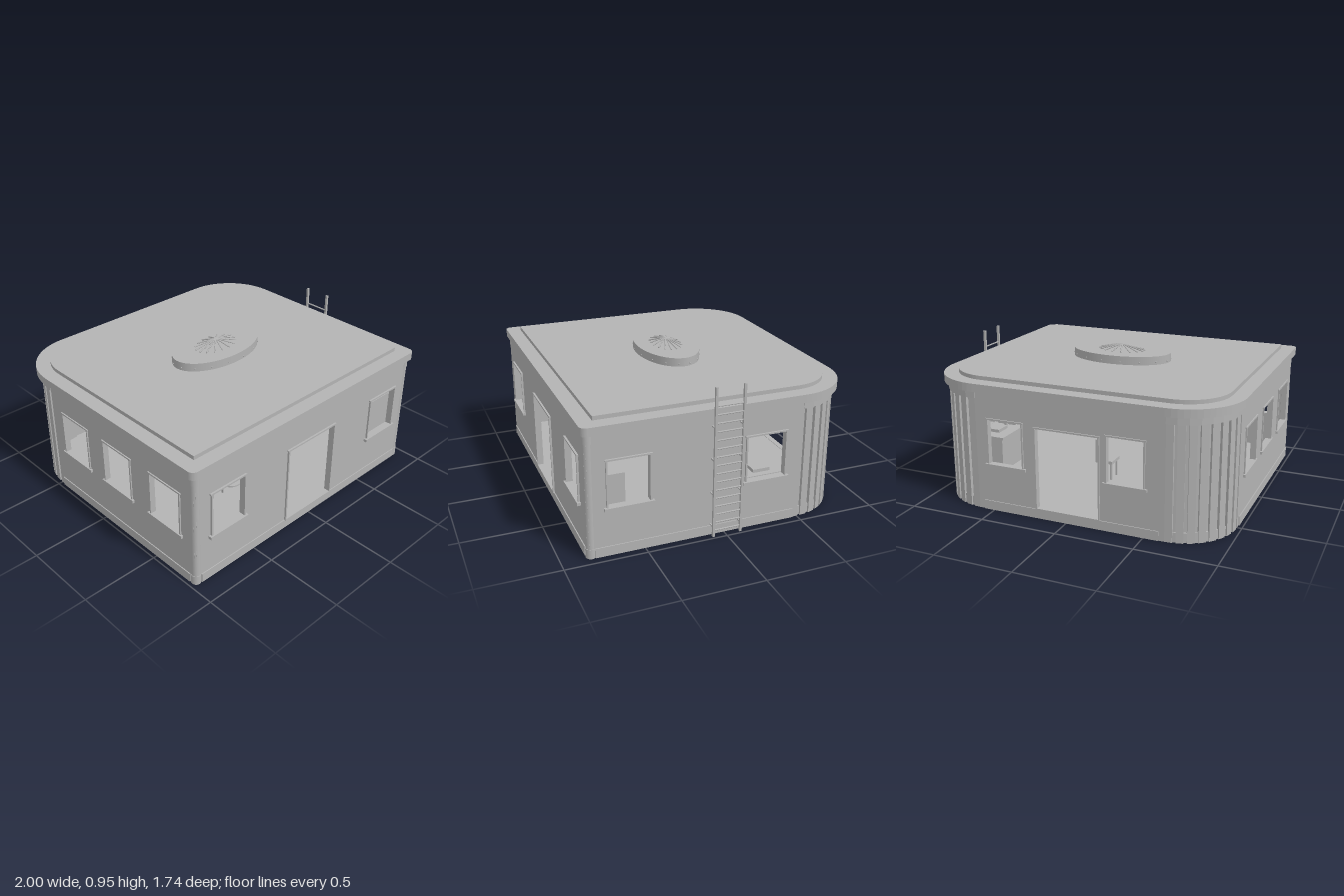
import * as THREE from 'three';

const grey = new THREE.MeshStandardMaterial({ color: 0xb3b3b3 });
grey.name = 'plain grey';
const CX = -0.0125, HX = 0.9575, HZ = 0.845, T = 0.03, R = 0.34, TOP = 0.77;

function mesh(parent, name, geo, x = 0, y = 0, z = 0) {
  const m = new THREE.Mesh(geo, grey);
  m.name = name;
  m.position.set(x, y, z);
  parent.add(m);
  return m;
}
// box given by its extents
function box(parent, name, x0, x1, y0, y1, z0, z1) {
  return mesh(parent, name, new THREE.BoxGeometry(x1 - x0, y1 - y0, z1 - z0),
    (x0 + x1) / 2, (y0 + y1) / 2, (z0 + z1) / 2);
}
function group(parent, name) {
  const g = new THREE.Group();
  g.name = name;
  parent.add(g);
  return g;
}
// straight bar between two points
function bar(parent, name, a, b, r, sides = 8) {
  const d = b.clone().sub(a);
  const m = mesh(parent, name, new THREE.CylinderGeometry(r, r, d.length(), sides));
  m.position.copy(a).addScaledVector(d, 0.5);
  m.quaternion.setFromUnitVectors(new THREE.Vector3(0, 1, 0), d.normalize());
  return m;
}
// plan shape (x, -z) raised from y0 to y1
function raise(parent, name, shape, y0, y1, curveSegments = 8) {
  const g = new THREE.ExtrudeGeometry(shape, { depth: y1 - y0, bevelEnabled: false, curveSegments });
  g.rotateX(-Math.PI / 2);
  return mesh(parent, name, g, 0, y0, 0);
}
// plan outline with large rounded back corners and small front ones
function plan(hx, zFront, zBack, back, front) {
  const s = new THREE.Shape(), x0 = CX - hx, x1 = CX + hx, f = -zFront, b = -zBack;
  s.moveTo(x0 + front, f);
  s.lineTo(x1 - front, f);
  s.absarc(x1 - front, f + front, front, -Math.PI / 2, 0, false);
  s.absarc(x1 - back, b - back, back, 0, Math.PI / 2, false);
  s.absarc(x0 + back, b - back, back, Math.PI / 2, Math.PI, false);
  s.absarc(x0 + front, f + front, front, Math.PI, Math.PI * 1.5, false);
  return s;
}
// wall with openings [u0, u1, y0, y1], framed on the outer side
function wall(parent, name, u0, u1, openings, side) {
  const g = group(parent, name);
  const s = new THREE.Shape([[u0, 0], [u1, 0], [u1, TOP], [u0, TOP]].map(p => new THREE.Vector2(...p)));
  const zo = side > 0 ? T : 0, z0 = zo - 0.008, z1 = zo + 0.012;
  for (const [a, b, c, d] of openings) {
    s.holes.push(new THREE.Path([[a, c], [a, d], [b, d], [b, c]].map(p => new THREE.Vector2(...p))));
    const door = c < 0.1;
    box(g, 'leftJamb', a - 0.01, a, c, d, z0, z1);
    box(g, 'rightJamb', b, b + 0.01, c, d, z0, z1);
    box(g, 'lintel', a - 0.015, b + 0.015, d, d + 0.01, z0, z1);
    if (door) box(g, 'threshold', a - 0.01, b + 0.01, c - 0.01, c, z0, z1);
    else box(g, 'sill', a - 0.025, b + 0.025, c - 0.018, c, zo - 0.015, zo + 0.022);
  }
  mesh(g, 'wallPanel', new THREE.ExtrudeGeometry(s, { depth: T, bevelEnabled: false }));
  const inset = 0.035;
  box(g, 'baseboard', u0 + inset, u1 - inset, 0, 0.06, zo - 0.006, zo + 0.006);
  return g;
}
// fluted quarter-round corner at the back
function flutedCorner(parent, name, sx) {
  const g = group(parent, name), cx = CX + sx * (HX - R), cy = HZ - R, n = 8;
  const at = (r, a) => new THREE.Vector2(cx + sx * r * Math.cos(a), cy + r * Math.sin(a));
  const flute = [], band = [], inner = [];
  for (let i = 0; i < n; i++) {
    const a = i / n * Math.PI / 2, w = Math.PI / 2 / n;
    for (const [r, k] of [[R - 0.018, 0], [R - 0.018, 0.28], [R, 0.3], [R, 0.98]]) flute.push(at(r, a + w * k));
  }
  for (let i = 0; i <= n; i++) {
    band.push(at(R + 0.004, i / n * Math.PI / 2));
    inner.unshift(at(R - 0.04, i / n * Math.PI / 2));
  }
  flute.push(at(R, Math.PI / 2));
  raise(g, 'flutes', new THREE.Shape([...flute, ...inner]), 0, 0.72);
  raise(g, 'cornerBand', new THREE.Shape([...band, ...inner]), 0.72, TOP);
}
function chair(parent, x, z, turn) {
  const g = group(parent, 'chair');
  box(g, 'seat', -0.06, 0.06, 0.175, 0.195, -0.06, 0.06);
  box(g, 'backrest', 0.04, 0.06, 0.195, 0.335, -0.06, 0.06);
  for (const a of [-1, 1]) for (const b of [-1, 1])
    box(g, 'leg', a * 0.045 - 0.006, a * 0.045 + 0.006, 0.06, 0.175, b * 0.045 - 0.006, b * 0.045 + 0.006);
  g.position.set(x, 0, z);
  g.rotation.y = turn;
}

export function createModel() {
  const root = new THREE.Group();
  root.name = 'pavilion';

  // floor slab
  raise(root, 'floor', plan(HX - 0.01, HZ - 0.01, -HZ + 0.01, R - 0.015, 0.02), 0, 0.062);

  // walls: door and windows
  const door = [-0.215, 0.195, 0.065, 0.58];
  const xl = CX - HX, xr = CX + HX;
  const win = (c, w = 0.25) => [c - w / 2, c + w / 2, 0.31, 0.595];
  wall(root, 'frontWall', xl + 0.01, xr - 0.01, [door, win(-0.718), win(0.69)], 1).position.z = HZ - T;
  wall(root, 'backWall', xl + R, xr - R, [door, win(-0.385, 0.23), win(0.405, 0.23)], -1).position.z = -HZ;
  const left = wall(root, 'leftWall', -HZ + 0.01, HZ - R, [win(-0.593), win(0.265)], 1);
  left.rotation.y = Math.PI / 2;
  left.position.x = xr - T;
  const right = wall(root, 'rightWall', -HZ + 0.01, HZ - R, [win(-0.593), win(-0.155), win(0.265)], -1);
  right.rotation.y = Math.PI / 2;
  right.position.x = xl;

  // corners
  for (const sx of [-1, 1]) {
    flutedCorner(root, 'flutedCorner', sx);
    const px = CX + sx * (HX - 0.024), pz = HZ - 0.024;
    mesh(root, 'cornerPost', new THREE.CylinderGeometry(0.028, 0.028, TOP, 16), px, TOP / 2, pz);
    mesh(root, 'postFoot', new THREE.CylinderGeometry(0.031, 0.031, 0.06, 16), px, 0.03, pz);
    mesh(root, 'postCap', new THREE.CylinderGeometry(0.031, 0.031, 0.06, 16), px, 0.74, pz);
  }

  // roof
  raise(root, 'roofSlab', plan(0.9875, 0.867, -0.873, 0.37, 0.04), 0.768, 0.82);
  raise(root, 'roofPanel', plan(0.895, 0.775, -0.78, 0.28, 0.004), 0.82, 0.845);

  // oval roof light with radiating spokes
  const light = group(root, 'roofLight');
  light.position.set(CX, 0, -0.003);
  const drum = mesh(light, 'drum', new THREE.CylinderGeometry(1, 1, 0.06, 48), 0, 0.87, 0);
  drum.scale.set(0.336, 1, 0.195);
  for (let i = 0; i < 16; i++) {
    const a = (i + 0.5) / 16 * Math.PI * 2, c = Math.cos(a), s = Math.sin(a);
    bar(light, 'spoke', new THREE.Vector3(0.16 * c, 0.902, 0.1 * s),
      new THREE.Vector3(0.015 * c, 0.936, 0.008 * s), 0.0045, 6);
    mesh(light, 'stud', new THREE.SphereGeometry(0.005, 8, 6), 0.336 * c, 0.862, 0.195 * s);
  }
  const hub = mesh(light, 'hub', new THREE.CylinderGeometry(0.6, 1, 0.008, 16), 0, 0.936, 0);
  hub.scale.set(0.03, 1, 0.018);

  // ladder
  const ladder = group(root, 'ladder');
  for (const z of [-0.088, 0.088]) {
    box(ladder, 'rail', 0.984, 1, 0.01, 0.955, z - 0.007, z + 0.007);
    for (const y of [0.07, 0.28, 0.5, 0.705]) box(ladder, 'bracket', 0.94, 0.99, y - 0.004, y + 0.004, z - 0.004, z + 0.004);
  }
  for (let i = 0; i < 16; i++)
    bar(ladder, 'rung', new THREE.Vector3(0.992, 0.05 + i * 0.0527, -0.088),
      new THREE.Vector3(0.992, 0.05 + i * 0.0527, 0.088), 0.005);

  // table and chairs
  const table = group(root, 'table');
  table.position.set(-0.19, 0, 0.33);
  mesh(table, 'tableTop', new THREE.CylinderGeometry(0.105, 0.105, 0.02, 32), 0, 0.275, 0);
  mesh(table, 'pedestal', new THREE.CylinderGeometry(0.014, 0.014, 0.2, 16), 0, 0.167, 0);
  mesh(table, 'tableBase', new THREE.CylinderGeometry(0.075, 0.075, 0.01, 32), 0, 0.067, 0);
  chair(root, 0.01, -0.2, 0);
  chair(root, -0.36, 0.34, Math.PI);

  // cabinet with handles
  const cabinet = group(root, 'cabinet');
  box(cabinet, 'cabinetBody', 0.7, 0.9, 0.062, 0.485, 0.6, 0.76);
  for (const y of [0.2, 0.4]) box(cabinet, 'handle', 0.73, 0.74, y - 0.03, y + 0.03, 0.588, 0.6);

  // counter with objects on it
  const counter = group(root, 'counter');
  box(counter, 'counterTop', 0.68, 0.91, 0.295, 0.312, -0.42, -0.05);
  box(counter, 'counterBody', 0.7, 0.91, 0.062, 0.295, -0.4, -0.07);
  box(counter, 'screen', 0.74, 0.88, 0.312, 0.46, -0.15, -0.138);
  box(counter, 'jar', 0.79, 0.81, 0.312, 0.37, -0.185, -0.165);
  box(counter, 'tray', 0.76, 0.87, 0.312, 0.333, -0.335, -0.225);
  return root;
}
